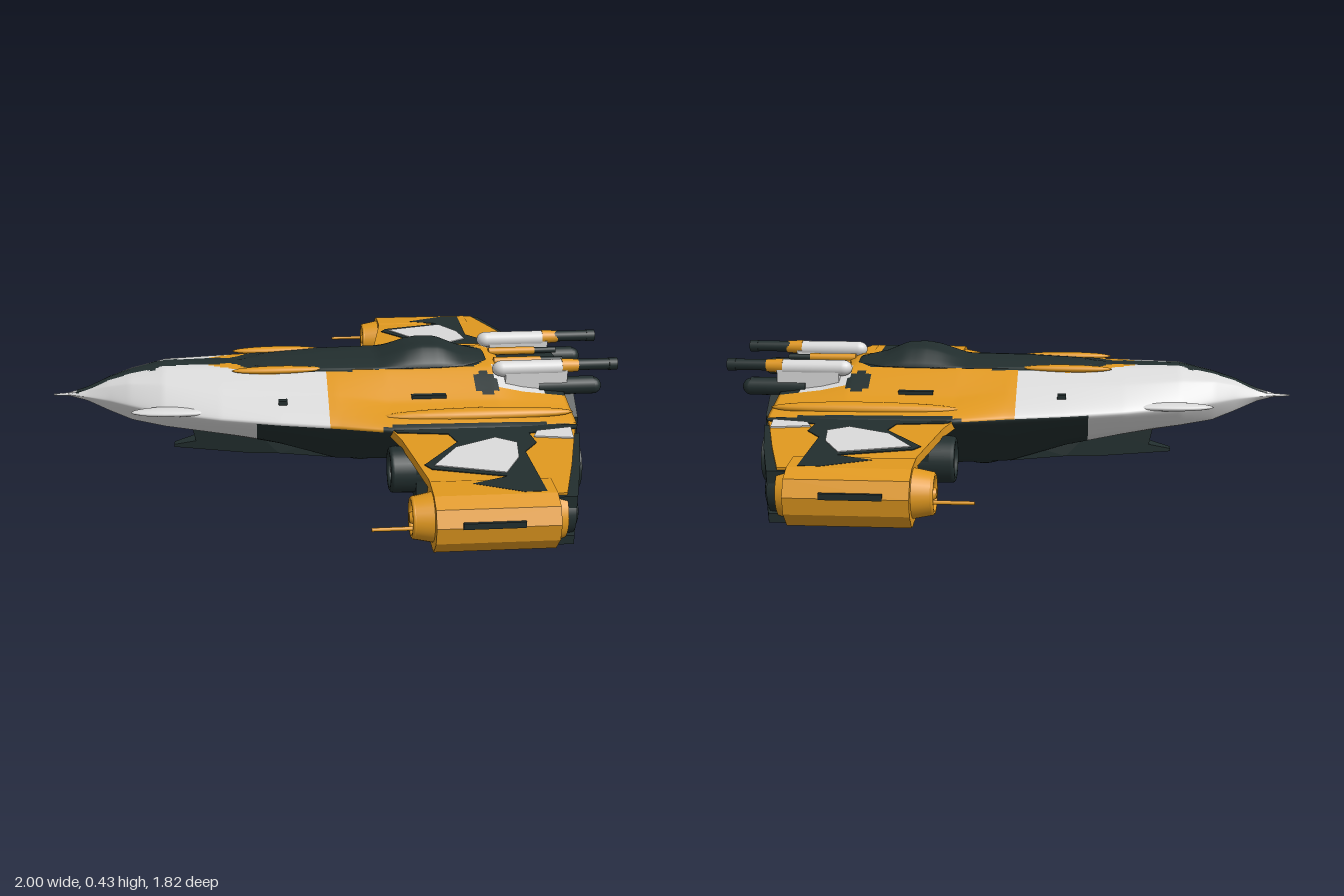
import * as THREE from 'three';

const mat = (name, color) => Object.assign(new THREE.MeshStandardMaterial({ color }), { name });
const orange = mat('orange paint', 0xe0981f);
const white = mat('white paint', 0xdadada);
const dark = mat('dark metal', 0x222e2e);

// Linear lookup of a row [x, ...values] in a table sorted by x
function rowAt(rows, x) {
  let i = 0;
  while (i < rows.length - 2 && x > rows[i + 1][0]) i++;
  const a = rows[i], b = rows[i + 1];
  const t = THREE.MathUtils.clamp((x - a[0]) / (b[0] - a[0]), 0, 1);
  return a.map((v, k) => v + (b[k] - v) * t);
}

// Skin through mirrored half-sections along x; rule picks a material index for each face
function loft(rows, half, nx, ny, rule, tension = 0.25) {
  const x0 = rows[0][0], x1 = rows[rows.length - 1][0], ring = ny * 2, pos = [], lists = [[], [], []];
  const put = (x, y, z) => pos.push(x, y, z);
  for (let i = 0; i <= nx; i++) {
    const x = x0 + ((x1 - x0) * i) / nx;
    const pts = half(rowAt(rows, x)).map(([z, y]) => new THREE.Vector3(x, y, z));
    const curve = new THREE.CatmullRomCurve3(pts, false, 'catmullrom', tension);
    const s = Array.from({ length: ny + 1 }, (_, j) => curve.getPoint(j / ny));
    for (let j = 0; j <= ny; j++) put(x, s[j].y, s[j].z);
    for (let j = ny - 1; j > 0; j--) put(x, s[j].y, -s[j].z);
  }
  for (let i = 0; i < nx; i++) for (let j = 0; j < ring; j++) {
    const k = (j + 1) % ring, a = i * ring + j, b = i * ring + k, c = a + ring, d = b + ring;
    const mid = (o) => (pos[a * 3 + o] + pos[d * 3 + o]) / 2;
    lists[rule(mid(0), mid(1), Math.abs(mid(2)), j < ny ? j / ny : (ring - j) / ny)].push(a, b, c, b, d, c);
  }
  // End caps
  for (const [base, flip, x] of [[0, true, x0], [nx * ring, false, x1]]) {
    const c = pos.length / 3;
    put(x, (pos[base * 3 + 1] + pos[(base + ny) * 3 + 1]) / 2, 0);
    for (let j = 0; j < ring; j++) {
      const p = base + j, q = base + ((j + 1) % ring);
      lists[2].push(c, flip ? q : p, flip ? p : q);
    }
  }
  const g = new THREE.BufferGeometry();
  g.setAttribute('position', new THREE.Float32BufferAttribute(pos, 3));
  g.setIndex(lists.flat());
  let start = 0;
  lists.forEach((l, m) => { g.addGroup(start, l.length, m); start += l.length; });
  g.computeVertexNormals();
  return g;
}

const shape = (pts) => new THREE.Shape(pts.map((p) => new THREE.Vector2(...p)));
const extrude = (pts, depth) => new THREE.ExtrudeGeometry(shape(pts), { depth, bevelEnabled: false });

// Plan-view plate: outline in (x, z), top surface follows yOf(z)
function plate(pts, thick, yOf) {
  const g = extrude(pts, thick).rotateX(Math.PI / 2), p = g.attributes.position;
  for (let i = 0; i < p.count; i++) p.setY(i, p.getY(i) + yOf(p.getZ(i)));
  g.computeVertexNormals();
  return g;
}
// Profile in (z, y) swept from x0 to x1
const sweep = (pts, x0, x1) => extrude(pts.map(([z, y]) => [-z, y]), x1 - x0).rotateY(Math.PI / 2).translate(x0, 0, 0);
// Tube-like part along x
const rod = (x0, x1, r0, r1, y, z, open = false, sides = 20) =>
  new THREE.CylinderGeometry(r1, r0, x1 - x0, sides, 1, open).rotateZ(-Math.PI / 2).translate((x0 + x1) / 2, y, z);
const box = (x0, x1, y0, y1, z0, z1) =>
  new THREE.BoxGeometry(x1 - x0, y1 - y0, z1 - z0).translate((x0 + x1) / 2, (y0 + y1) / 2, (z0 + z1) / 2);
const blob = (x, y, z, rx, ry, rz) => new THREE.SphereGeometry(1, 20, 12).scale(rx, ry, rz).translate(x, y, z);

// Mirror a geometry across z = 0, keeping faces outward
function mirrored(geo) {
  const g = geo.index ? geo.toNonIndexed() : geo.clone();
  g.scale(1, 1, -1);
  for (const key of ['position', 'normal']) {
    const a = g.attributes[key].array;
    for (let i = 0; i < a.length; i += 9) for (let k = 0; k < 3; k++) {
      [a[i + 3 + k], a[i + 6 + k]] = [a[i + 6 + k], a[i + 3 + k]];
    }
  }
  return g;
}

export function createModel() {
  const root = new THREE.Group();
  root.name = 'starfighter';
  const add = (name, geo, m) => {
    const mesh = new THREE.Mesh(geo, m);
    mesh.name = name;
    root.add(mesh);
  };
  // One part at +z and its twin at -z
  const pair = (name, geo, m) => { add(name + 'Near', geo, m); add(name + 'Far', mirrored(geo), m); };

  // Hull: x, top, shoulderZ, midZ, midY, edgeZ, edgeY, lowZ, lowY, keelZ, bottom
  const hull = [
    [-0.95, 0.265, 0.002, 0.004, 0.264, 0.006, 0.26, 0.004, 0.257, 0.002, 0.255],
    [-0.88, 0.287, 0.01, 0.02, 0.28, 0.035, 0.262, 0.02, 0.242, 0.01, 0.236],
    [-0.8, 0.323, 0.025, 0.05, 0.305, 0.075, 0.263, 0.052, 0.215, 0.02, 0.203],
    [-0.72, 0.348, 0.035, 0.08, 0.325, 0.125, 0.262, 0.08, 0.19, 0.04, 0.173],
    [-0.6, 0.374, 0.05, 0.12, 0.335, 0.19, 0.258, 0.13, 0.182, 0.06, 0.155],
    [-0.4, 0.375, 0.07, 0.16, 0.33, 0.255, 0.255, 0.18, 0.17, 0.09, 0.127],
    [-0.2, 0.376, 0.09, 0.19, 0.325, 0.3, 0.252, 0.21, 0.15, 0.11, 0.09],
    [0, 0.38, 0.1, 0.22, 0.32, 0.337, 0.25, 0.24, 0.13, 0.12, 0.03],
    [0.18, 0.38, 0.115, 0.25, 0.3, 0.385, 0.25, 0.26, 0.12, 0.12, 0.02],
    [0.56, 0.375, 0.11, 0.25, 0.3, 0.39, 0.248, 0.26, 0.12, 0.12, 0.02],
    [0.66, 0.335, 0.12, 0.25, 0.29, 0.39, 0.247, 0.26, 0.12, 0.12, 0.035],
    [0.81, 0.31, 0.12, 0.25, 0.275, 0.37, 0.245, 0.26, 0.12, 0.12, 0.04],
  ];
  const hullHalf = ([, top, sz, mz, my, ez, ey, lz, ly, kz, bot]) =>
    [[0, top], [sz, top - 0.006], [mz, my], [ez, ey], [lz, ly], [kz, bot + 0.004], [0, bot]];
  const stripe = [[-0.9, 0.016], [-0.66, 0.03], [-0.64, 0.05], [-0.62, 0.03], [-0.36, 0.03], [-0.28, 0.09], [0, 0.12], [0.5, 0.11], [0.55, 0.05]];
  // 0 orange, 1 white, 2 dark
  const hullPaint = (x, y, z, t) => {
    if (t > 0.5) return x > -0.28 ? 2 : 1;
    if (x > -0.92 && x < 0.55 && z < rowAt(stripe, x)[1]) return 2;
    if (Math.hypot(x - 0.53, z - 0.18) < 0.045) return 2;
    if (x > 0.6 && z < 0.09) return 2;
    if (x > 0.56 && z > 0.09 && z < 0.2) return x < 0.74 ? 1 : 2;
    if (x > 0.15 && z > 0.365) return 2;
    if (x < -0.03 && !(x > -0.46 && z < 0.03 + (x + 0.46) * 0.4 && z < 0.11)) return 1;
    return 0;
  };
  add('hull', loft(hull, hullHalf, 170, 60, hullPaint), [orange, white, dark]);
  add('noseProbe', rod(-1, -0.92, 0.003, 0.008, 0.26, 0, false, 8), white);

  // Canopy: x, half width, top
  const canopy = [[-0.34, 0.012, 0.377], [-0.25, 0.07, 0.384], [-0.05, 0.11, 0.388], [0.16, 0.12, 0.39], [0.26, 0.122, 0.424],
    [0.31, 0.122, 0.433], [0.38, 0.12, 0.43], [0.46, 0.112, 0.398], [0.55, 0.06, 0.382]];
  add('canopy', loft(canopy, ([, w, top]) => [[0, top], [w * 0.5, top - 0.003], [w, 0.372], [0, 0.36]], 50, 16, () => 2, 0.35), [orange, white, dark]);

  // Belly keel with forward prong, narrowing to the front
  const keel = extrude([[-0.58, 0.045], [-0.3, 0.04], [-0.2, 0.046], [0, 0.03], [0.05, 0.12], [-0.3, 0.15], [-0.52, 0.17], [-0.5, 0.075], [-0.58, 0.055]], 0.22).translate(0, 0, -0.11);
  const kp = keel.attributes.position;
  for (let i = 0; i < kp.count; i++) kp.setZ(i, kp.getZ(i) * THREE.MathUtils.clamp((kp.getX(i) + 0.64) / 0.5, 0.1, 1));
  keel.computeVertexNormals();
  add('keel', keel, dark);
  add('bellyHumpFront', blob(0.1, 0.04, 0, 0.1, 0.04, 0.13), dark);
  add('bellyHumpRear', blob(0.42, 0.04, 0, 0.07, 0.04, 0.13), dark);
  add('tailBlock', sweep([[-0.12, 0.045], [0.12, 0.045], [0.24, 0.13], [0.24, 0.22], [0.14, 0.3], [-0.14, 0.3], [-0.24, 0.22], [-0.24, 0.13]], 0.7, 0.85), dark);

  // Hull fittings
  pair('noseLedge', blob(-0.54, 0.265, 0.195, 0.17, 0.014, 0.035), white);
  pair('canopyRail', blob(-0.2, 0.372, 0.1, 0.16, 0.013, 0.02), orange);
  pair('shoulderRidge', blob(0.48, 0.275, 0.315, 0.33, 0.022, 0.03), orange);
  pair('noseVent', box(-0.2, -0.17, 0.3, 0.315, 0.228, 0.25), dark);
  pair('shoulderVent', box(0.26, 0.38, 0.3, 0.318, 0.222, 0.24), dark);

  // Wing skins
  const topY = (z) => 0.252 - (z - 0.38) * 0.04;
  pair('wingTop', plate([[0.17, 0.36], [0.2, 0.45], [0.25, 0.72], [0.25, 0.83], [0.62, 0.83], [0.66, 0.83], [0.72, 0.65], [0.78, 0.45], [0.81, 0.36]], 0.03, topY), orange);
  pair('wingBottom', plate([[0.26, 0.45], [0.25, 0.84], [0.63, 0.84], [0.74, 0.45]], 0.03, () => 0.085), orange);
  const edge = [[0.6, 0.84], [0.69, 0.84], [0.75, 0.64], [0.805, 0.42], [0.7, 0.42]];
  pair('trailingEdgeTop', plate(edge, 0.04, (z) => topY(z) - 0.008), dark);
  pair('trailingEdgeBottom', plate(edge, 0.03, () => 0.09), dark);
  pair('wingRoot', sweep([[0.2, 0.25], [0.53, 0.235], [0.535, 0.065], [0.45, 0.055], [0.37, 0.075], [0.3, 0.125], [0.2, 0.12]], 0.24, 0.765), dark);
  pair('wingStrut', box(0.32, 0.69, 0.075, 0.225, 0.603, 0.628), dark);

  // Wing paint
  const paintY = (z) => topY(z) + 0.003;
  pair('wingDarkPanel', plate([[0.18, 0.375], [0.81, 0.375], [0.8, 0.405], [0.63, 0.43], [0.64, 0.5], [0.59, 0.56], [0.6, 0.82], [0.53, 0.82], [0.38, 0.76], [0.5, 0.72], [0.27, 0.66], [0.25, 0.63], [0.38, 0.48], [0.36, 0.42], [0.19, 0.4]], 0.005, paintY), dark);
  pair('wingWhitePanel', plate([[0.28, 0.64], [0.37, 0.52], [0.51, 0.46], [0.575, 0.5], [0.56, 0.6], [0.5, 0.7]], 0.005, (z) => paintY(z) + 0.003), white);
  pair('wingWhiteCorner', plate([[0.66, 0.42], [0.78, 0.4], [0.77, 0.48], [0.64, 0.46]], 0.005, (z) => paintY(z) + 0.003), white);
  pair('wingBottomVent', plate([[0.4, 0.61], [0.48, 0.61], [0.48, 0.66], [0.4, 0.66]], 0.005, () => 0.057), dark);

  // Inner engines
  pair('innerEngine', rod(0.17, 0.79, 0.078, 0.085, 0.145, 0.455, false, 28), dark);
  pair('innerIntakeRing', new THREE.TorusGeometry(0.065, 0.013, 10, 28).rotateY(Math.PI / 2).translate(0.17, 0.145, 0.455), dark);

  // Outer pods
  pair('pod', sweep([[0.7, 0.225], [0.74, 0.24], [0.83, 0.236], [0.88, 0.215], [0.907, 0.165], [0.9, 0.11], [0.86, 0.06], [0.72, 0.055], [0.7, 0.075]], 0.25, 0.63), orange);
  pair('podNose', rod(0.19, 0.27, 0.066, 0.082, 0.15, 0.8, true, 28), orange);
  pair('podLip', new THREE.TorusGeometry(0.058, 0.009, 10, 28).rotateY(Math.PI / 2).translate(0.193, 0.15, 0.8), orange);
  pair('podIntake', rod(0.2, 0.25, 0.058, 0.058, 0.15, 0.8), dark);
  pair('podHub', rod(0.18, 0.21, 0.015, 0.03, 0.15, 0.8), orange);
  pair('podTail', rod(0.63, 0.66, 0.088, 0.08, 0.148, 0.79, false, 28), orange);
  pair('podExhaust', rod(0.64, 0.69, 0.08, 0.072, 0.148, 0.775, false, 28), dark);
  pair('podExhaustRing', new THREE.TorusGeometry(0.045, 0.01, 8, 24).rotateY(Math.PI / 2).translate(0.692, 0.148, 0.775), dark);
  pair('podSlit', box(0.33, 0.52, 0.162, 0.182, 0.901, 0.91), dark);
  pair('podGun', rod(0.06, 0.26, 0.006, 0.007, 0.14, 0.85, false, 8), orange);

  // Rear guns
  pair('gunHousing', rod(0.59, 0.8, 0.028, 0.028, 0.375, 0.15), white);
  pair('gunHousingNose', blob(0.59, 0.375, 0.15, 0.035, 0.028, 0.028), white);
  pair('gunSleeve', rod(0.8, 0.86, 0.026, 0.022, 0.38, 0.15), orange);
  pair('gunBarrel', rod(0.84, 0.99, 0.02, 0.02, 0.382, 0.148), dark);
  pair('gunMuzzle', rod(0.97, 1, 0.022, 0.022, 0.382, 0.148), dark);
  pair('gunMount', box(0.6, 0.82, 0.3, 0.37, 0.125, 0.175), white);
  pair('lowerBarrel', rod(0.72, 0.92, 0.032, 0.032, 0.305, 0.15), dark);
  pair('lowerMuzzle', blob(0.92, 0.303, 0.15, 0.03, 0.03, 0.03), dark);
  pair('smallGun', rod(0.58, 0.75, 0.014, 0.014, 0.365, 0.05), orange);
  pair('smallBarrel', rod(0.74, 0.83, 0.011, 0.011, 0.365, 0.05), dark);
  add('gunBase', box(0.58, 0.82, 0.29, 0.35, -0.075, 0.075), dark);

  return root;
}
